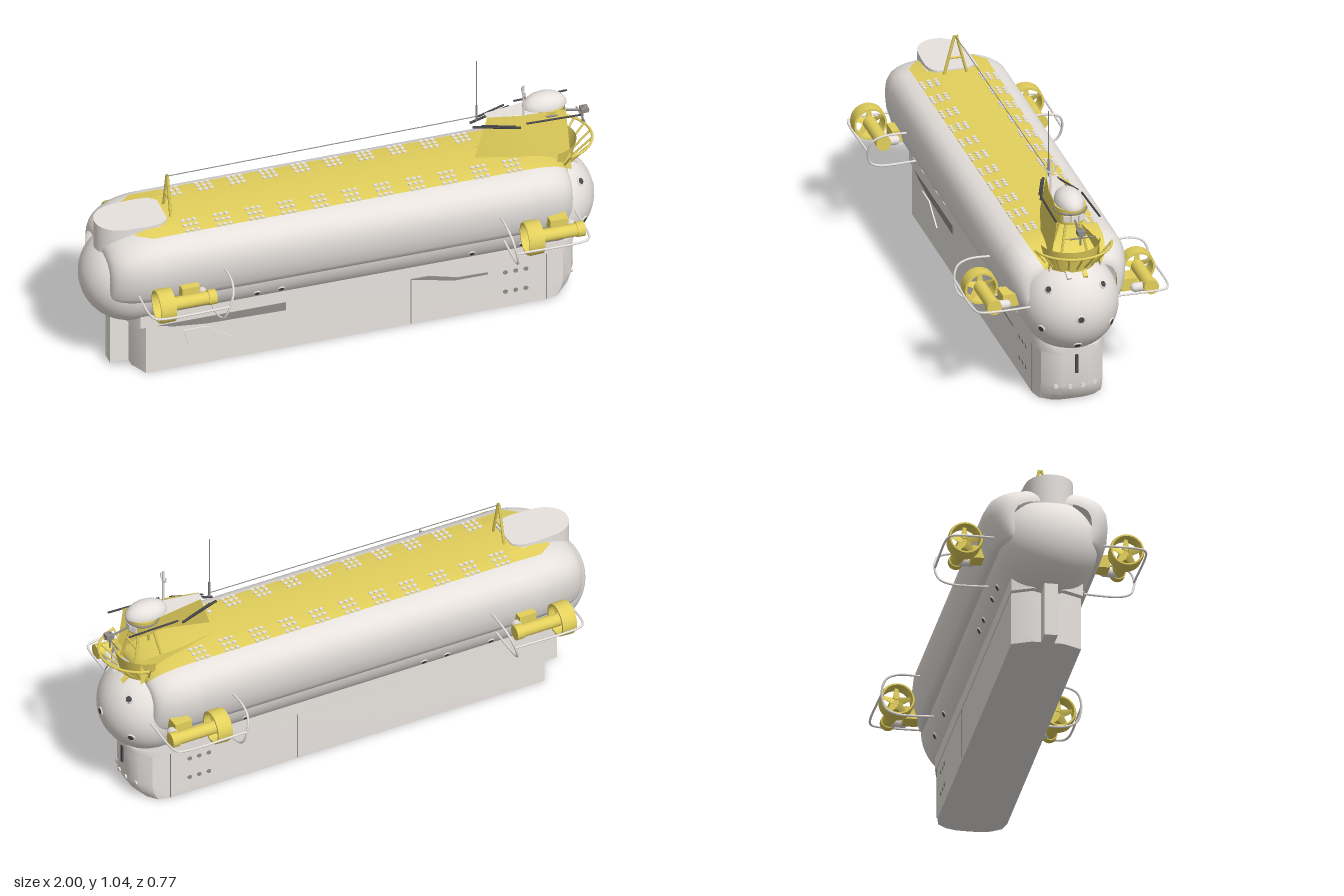
import * as THREE from 'three';
import { mergeGeometries, toCreasedNormals } from 'three/addons/utils/BufferGeometryUtils.js';

const paint = (name, color) => {
  const m = new THREE.MeshStandardMaterial({ color, side: THREE.DoubleSide });
  m.name = name;
  return m;
};
const V = (x, y, z) => new THREE.Vector3(x, y, z);

// skin through rows of points
function loft(rows) {
  const n = rows[0].length, index = [];
  for (let i = 0; i < rows.length - 1; i++)
    for (let j = 0; j < n - 1; j++) {
      const a = i * n + j, b = a + n;
      index.push(a, a + 1, b, a + 1, b + 1, b);
    }
  const g = new THREE.BufferGeometry();
  g.setAttribute('position', new THREE.Float32BufferAttribute(rows.flat(2), 3));
  g.setIndex(index);
  g.computeVertexNormals();
  return g;
}
const bar = (a, b, r) => new THREE.TubeGeometry(new THREE.LineCurve3(V(...a), V(...b)), 1, r, 6);
const pipe = (pts, r) => new THREE.TubeGeometry(
  new THREE.CatmullRomCurve3(pts.map((p) => V(...p)), false, 'centripetal'), 48, r, 8);
const box = (w, h, d, x, y, z) => new THREE.BoxGeometry(w, h, d).translate(x, y, z);

export function createModel() {
  const grey = paint('hullGrey', 0xe7e2de), yellow = paint('safetyYellow', 0xe3d05c);
  const dark = paint('darkSteel', 0x48484b), steel = paint('midSteel', 0x8f8c89);
  const sub = new THREE.Group();
  sub.name = 'submarine';
  sub.position.z = -0.007;
  const add = (name, geo, mat, parent = sub) => {
    const m = new THREE.Mesh(Array.isArray(geo) ? mergeGeometries(geo) : geo, mat);
    m.name = name;
    parent.add(m);
    return m;
  };

  // pressure hull
  const R = 0.185, CY = 0.385, CX = 0.815;
  add('pressureHull', new THREE.CapsuleGeometry(R, 2 * CX, 20, 48).rotateZ(Math.PI / 2).translate(0, CY, 0), grey);

  // outer fairing, its ends drawn in toward the hull
  const half = [[0.15, 0.36], [0.198, 0.362], [0.215, 0.39], [0.232, 0.445], [0.237, 0.5], [0.232, 0.545],
    [0.212, 0.582], [0.185, 0.6], [0.15, 0.613], [0.1, 0.621], [0, 0.625]];
  const full = [...half, ...half.slice(0, -1).reverse().map(([z, y]) => [-z, y])];
  const taper = (x0, length, tip) => Array.from({ length: 13 }, (_, i) => {
    const a = i * Math.PI / 24;
    return [x0 + length * Math.sin(a), tip + (1 - tip) * Math.cos(a)];
  });
  const bow = taper(0.69, 0.18, 0.72), stern = taper(-0.72, -0.21, 0.62).reverse();
  add('outerFairing', loft([...stern, ...bow].map(([x, s]) => full.map(([z, y]) => [x, 0.37 + (y - 0.37) * s, z * s]))), grey);

  // yellow deck strip with a rounded stern end
  const deck = full.filter(([z, y]) => Math.abs(z) <= 0.15 && y > 0.5);
  const deckStations = [[-0.735, 0.5], [-0.72, 0.72], [-0.69, 0.9], [-0.65, 1], ...bow];
  add('deck', loft(deckStations.map(([x, s]) => deck.map(([z, y]) =>
    [x, (x > 0 ? 0.37 + (y - 0.37) * s : y) + 0.003, z * s]))), yellow);
  for (const s of [-1, 1])
    add('deckSternEdge', loft([[-0.82, 0.145], [-0.76, 0.15], [-0.65, 0.125]].map(([x], i) =>
      [0.098, [0.108, 0.152, 0.15][i]].map((z) => [x, (i ? 0.626 : 0.614) - Math.max(0, z - 0.1) * 0.2, s * z]))), yellow);

  // stern deckhouse
  const house = new THREE.Shape();
  house.moveTo(-0.68, -0.06);
  house.bezierCurveTo(-0.7, -0.1, -0.76, -0.095, -0.84, -0.09);
  house.bezierCurveTo(-0.98, -0.085, -0.98, 0.085, -0.84, 0.09);
  house.bezierCurveTo(-0.76, 0.095, -0.7, 0.1, -0.68, 0.06);
  house.closePath();
  const houseGeo = new THREE.ExtrudeGeometry(house, { depth: 0.14, bevelEnabled: false, curveSegments: 16 });
  add('sternDeckhouse', toCreasedNormals(houseGeo.rotateX(-Math.PI / 2).translate(0, 0.493, 0), 0.6), grey);

  // free-flooding holes in the deck
  const holes = [];
  for (let c = 0; c < 11; c++) for (let k = -1; k <= 1; k++)
    for (const [z, y] of [[0.088, 0.625], [0.115, 0.622], [0.142, 0.617]]) for (const s of [-1, 1])
      holes.push(new THREE.CylinderGeometry(0.008, 0.008, 0.008, 8).translate(-0.605 + c * 0.1257 + k * 0.022, y, s * z));
  add('deckHoles', holes, grey);

  // keel: plan outline raised through levels, bow cut back at the bottom
  const planHalf = [[-0.82, 0], [-0.82, 0.06], [-0.785, 0.132], [0.78, 0.132], [0.85, 0.12], [0.892, 0.085], [0.91, 0.045], [0.912, 0]];
  const plan = [...planHalf, ...planHalf.slice(0, -1).reverse().map(([x, z]) => [x, -z])];
  const level = (y, nose = 1, grow = 1) => plan.map(([x, z]) => [x > 0.78 ? 0.78 + (x - 0.78) * nose : x * grow, y, z * grow]);
  add('keel', toCreasedNormals(loft([plan.map(() => [0, 0, 0]), level(0, 0.66), level(0.03, 0.87), level(0.07), level(0.24)]), 0.5), grey);
  add('keelSkirt', toCreasedNormals(loft([level(0.208, 1.02, 1), level(0.208, 1.05, 1.03), level(0.235, 1.06, 1.03), level(0.27, 0.9, 1.03)]), 0.5), grey);
  add('keelSternFin', box(0.08, 0.21, 0.05, -0.852, 0.105, 0), grey);
  const dots = (x, y, z, r) => new THREE.CylinderGeometry(r, r, 0.006, 10).rotateX(Math.PI / 2).translate(x, y, z);
  for (const s of [-1, 1]) {
    add('keelVents', [0.62, 0.66, 0.7].flatMap((x) => [0.07, 0.157].map((y) => dots(x, y, s * 0.132, 0.009))), steel);
    add('keelSeams', [box(0.003, 0.2, 0.004, 0.25, 0.105, s * 0.132), box(0.003, 0.2, 0.004, 0.78, 0.105, s * 0.132)], steel);
  }
  // flat panels on the keel side
  for (const [name, pts, mat] of [
    ['keelFinPanel', [[-0.64, 0.165], [-0.62, 0.09], [-0.45, 0.1], [-0.55, 0.165]], grey],
    ['keelSlot', [[-0.74, 0.208], [-0.24, 0.208], [-0.24, 0.172], [-0.55, 0.178], [-0.68, 0.192]], steel],
    ['bowPanel', [[0.25, 0.205], [0.42, 0.165], [0.55, 0.165], [0.55, 0.172], [0.43, 0.175], [0.32, 0.205]], steel]]) {
    const shape = new THREE.Shape(pts.map(([x, y]) => new THREE.Vector2(x, y)));
    add(name, new THREE.ExtrudeGeometry(shape, { depth: 0.008, bevelEnabled: false }).translate(0, 0, 0.129), mat);
  }
  add('keelBowSlot', box(0.012, 0.075, 0.012, 0.912, 0.165, 0), dark);
  add('keelBowLights', [-0.075, -0.025, 0.025, 0.075].map((z) =>
    new THREE.CylinderGeometry(0.009, 0.009, 0.02, 12).rotateZ(Math.PI / 2).translate(Math.abs(z) > 0.05 ? 0.89 : 0.907, 0.073, z)), grey);

  // portholes on the bow sphere and along the lower hull
  function porthole(cx, y, z, r) {
    const dy = y - CY, n = V(cx >= CX ? Math.sqrt(Math.max(0, R * R - dy * dy - z * z)) : 0, dy, z).normalize();
    const g = new THREE.Group();
    g.name = 'porthole';
    g.position.set(cx, CY, 0).addScaledVector(n, R);
    g.quaternion.setFromUnitVectors(V(0, 0, 1), n);
    add('portholeRim', new THREE.TorusGeometry(r, r * 0.32, 8, 20), grey, g);
    add('portholeGlass', new THREE.CylinderGeometry(r * 0.9, r * 0.9, 0.008, 20).rotateX(Math.PI / 2), dark, g);
    sub.add(g);
  }
  for (const [y, z] of [[0.388, 0.008], [0.49, 0.11], [0.49, -0.095], [0.335, 0.14], [0.335, -0.125], [0.262, 0.008]]) porthole(CX, y, z, 0.013);
  for (const x of [-0.65, -0.545, -0.36, -0.265, 0.48, 0.675]) for (const s of [-1, 1]) porthole(x, 0.29, s * 0.159, 0.011);
  for (const [z, mat] of [[0.033, grey], [-0.03, yellow]])
    add('bowPlate', new THREE.BoxGeometry(0.012, 0.045, 0.017).rotateZ(0.98).translate(0.913, 0.54, z), mat);

  // four thrusters with guard rails
  function thruster(x, s, fore) {
    const g = new THREE.Group();
    g.name = 'thruster';
    g.position.set(x, 0.417, s * 0.305);
    const duct = [[0.056, 0], [0.062, 0], [0.066, 0.012], [0.064, 0.06], [0.056, 0.06], [0.056, 0]].map(([r, h]) => new THREE.Vector2(r, h));
    add('duct', toCreasedNormals(new THREE.LatheGeometry(duct, 32), 0.7).rotateZ(-Math.PI / 2), yellow, g);
    add('motor', new THREE.CylinderGeometry(0.025, 0.025, 0.19, 20).rotateZ(Math.PI / 2).translate(0.135, 0, 0), yellow, g);
    add('motorCollar', new THREE.CylinderGeometry(0.029, 0.029, 0.03, 20).rotateZ(Math.PI / 2).translate(0.215, 0, 0), yellow, g);
    // broad tapering blades
    const blades = [];
    for (let i = 0; i < 5; i++)
      blades.push(new THREE.CylinderGeometry(0.01, 0.022, 0.045, 4, 1).rotateY(Math.PI / 4).scale(0.15, 1, 1)
        .translate(0, 0.034, 0).rotateY(0.4).translate(0.035, 0, 0).rotateX(i * Math.PI * 0.4));
    add('propeller', blades, yellow, g);
    add('mountArm', new THREE.CapsuleGeometry(0.018, 0.05, 6, 12).rotateX(Math.PI / 2).translate(0.195, -0.008, -s * 0.03), grey, g);
    add('mountPlate', box(0.07, 0.05, 0.06, 0.15, 0, -s * 0.075), yellow, g);
    sub.add(g);
    // upright hoop and level rail
    const h = fore ? 0.585 : -0.535, e = fore ? 0.88 : -0.835, k = fore ? -0.015 : 0.025, d = Math.sign(e - h);
    add('guardHoop', pipe([[h + k, 0.48, s * 0.21], [h + k, 0.48, s * 0.32], [h + k * 0.7, 0.46, s * 0.362], [h, 0.41, s * 0.377],
      [h - k * 0.7, 0.354, s * 0.362], [h - k, 0.334, s * 0.32], [h - k, 0.334, s * 0.17]], 0.0045), grey);
    add('guardRail', pipe([[h, 0.407, s * 0.376], [e - d * 0.04, 0.407, s * 0.376], [e - d * 0.01, 0.407, s * 0.364],
      [e, 0.407, s * 0.335], [e, 0.407, s * 0.15]], 0.0045), grey);
  }
  for (const s of [-1, 1]) {
    thruster(-0.8, s, false);
    thruster(0.64, s, true);
  }

  // tower: leaning side wall, low opposite coaming and roof
  add('towerWall', loft([[[0.53, 0.615, 0.03], [0.585, 0.79, 0.02]], [[0.7, 0.61, 0.078], [0.7, 0.79, 0.045]], [[0.89, 0.545, 0.1], [0.88, 0.79, 0.06]]]), yellow);
  add('towerCoaming', loft([[[0.53, 0.615, -0.03], [0.54, 0.628, -0.028]], [[0.7, 0.61, -0.078], [0.7, 0.64, -0.075]], [[0.89, 0.545, -0.1], [0.885, 0.65, -0.095]]]), yellow);
  add('towerRoof', loft([[[0.585, 0.787, -0.015], [0.585, 0.787, 0.02]], [[0.78, 0.787, -0.045], [0.78, 0.787, 0.05]]]), grey);
  for (const s of [-1, 1])
    add('towerRail', [bar([0.53, 0.755, s * 0.015], [0.7, 0.755, s * 0.075], 0.005), bar([0.72, 0.772, s * 0.078], [0.93, 0.772, s * 0.085], 0.004),
      bar([0.56, 0.765, s * 0.03], [0.68, 0.765, s * 0.075], 0.004)], dark);

  // observation dome on a legged yellow drum
  add('dome', new THREE.SphereGeometry(1, 28, 12, 0, Math.PI * 2, 0, Math.PI / 2).scale(0.085, 0.052, 0.054).translate(0.815, 0.79, 0), grey);
  add('domeDrum', new THREE.CylinderGeometry(0.06, 0.052, 0.065, 28).translate(0.83, 0.757, 0), yellow);
  add('domeRim', new THREE.TorusGeometry(0.06, 0.004, 6, 32).rotateX(Math.PI / 2).translate(0.83, 0.772, 0), steel);
  add('drumWindows', [-0.5, 0, 0.5].map((a) => box(0.008, 0.024, 0.026, 0.057, 0, 0).rotateY(a).translate(0.83, 0.752, 0)), grey);
  add('domeLegs', [-1, 1].flatMap((s) => [[0.8, 0.77], [0.86, 0.89]].map(([a, b]) => bar([a, 0.73, s * 0.026], [b, 0.58, s * 0.056], 0.005)))
    .concat(bar([0.875, 0.668, -0.04], [0.875, 0.668, 0.04], 0.005)), yellow);
  add('bowLamps', [box(0.03, 0.018, 0.03, 0.97, 0.735, 0), bar([0.88, 0.75, 0], [0.99, 0.725, 0], 0.004),
    bar([0.965, 0.68, 0], [0.965, 0.75, 0], 0.004), bar([0.96, 0.706, -0.06], [0.96, 0.706, 0.04], 0.003)], steel);

  // fan-shaped bow platform
  const rim = [], struts = [];
  for (let i = 0; i <= 8; i++) {
    const a = -1.3 + i * 0.325, c = Math.cos(a), z = Math.sin(a);
    rim.push([0.83 + 0.165 * c, 0.635, 0.155 * z]);
    struts.push(bar([0.83 + 0.09 * c, 0.56, 0.1 * z], rim[i], 0.004));
  }
  add('platformRim', pipe(rim, 0.005), yellow);
  add('platformStruts', struts, yellow);
  add('platformSkirt', new THREE.CylinderGeometry(0.115, 0.095, 0.09, 24, 1, true, 0.1, 2.94).translate(0.82, 0.59, 0), yellow);

  // masts and aerial wire
  add('whipAntenna', [bar([0.55, 0.77, 0], [0.55, 1.04, 0], 0.002), bar([0.55, 0.78, 0], [0.55, 0.84, 0], 0.004)], steel);
  add('signalMast', [bar([0.72, 0.78, 0.044], [0.72, 0.92, 0.044], 0.004),
    ...[-1, 1].flatMap((s) => [bar([0.72, 0.87, 0.044], [0.72, 0.885, 0.044 + s * 0.02], 0.003), bar([0.72, 0.885, 0.044 + s * 0.02], [0.72, 0.9, 0.044 + s * 0.02], 0.003)])], grey);
  add('aerialFrame', [-1, 1].map((s) => bar([-0.66, 0.62, s * 0.045], [-0.66, 0.78, s * 0.004], 0.006))
    .concat(bar([-0.66, 0.69, -0.026], [-0.66, 0.69, 0.026], 0.005)), yellow);
  add('aerialWire', bar([-0.66, 0.778, 0], [0.55, 0.79, 0], 0.0018), steel);
  return sub;
}
